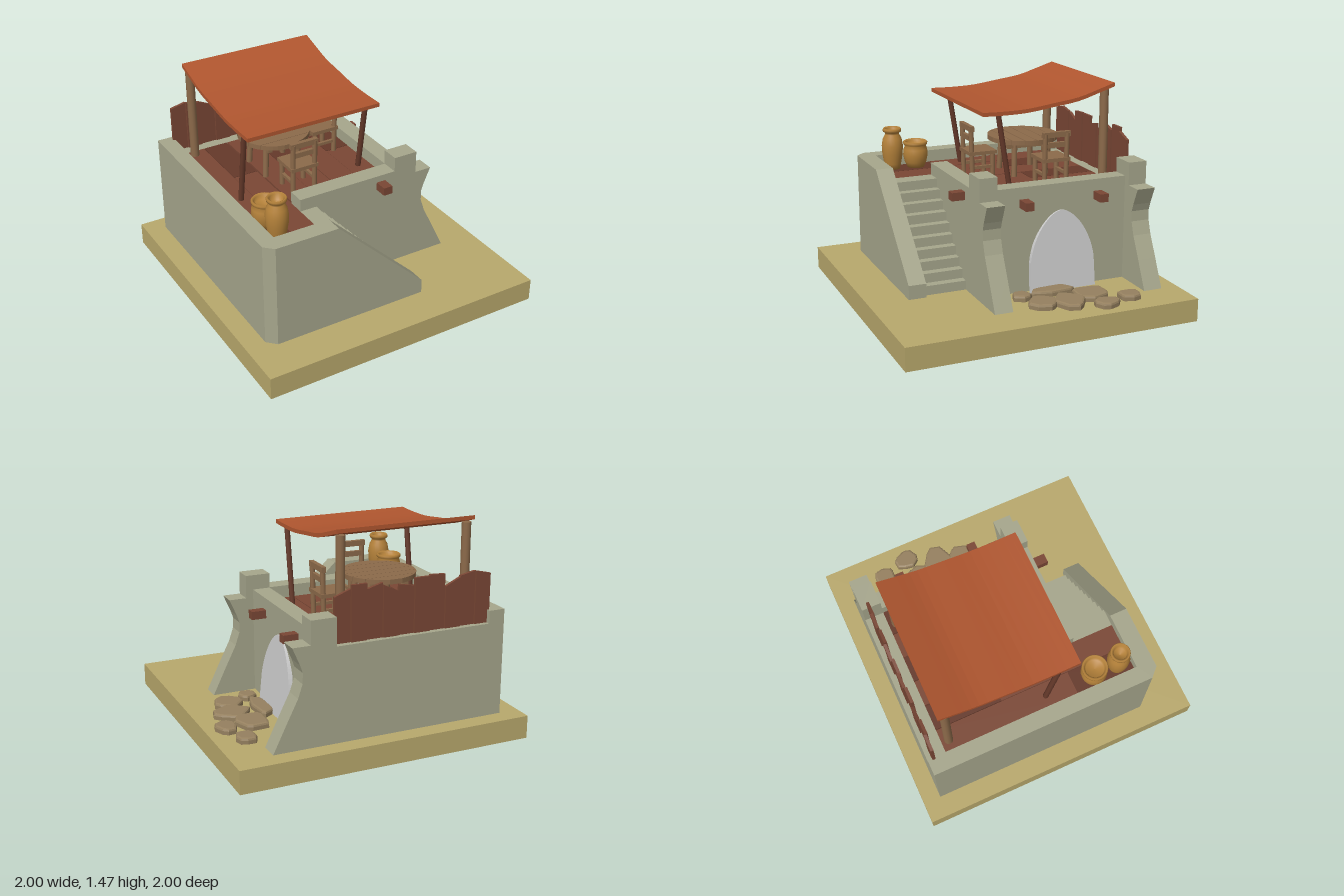
import * as THREE from 'three';

const mat = (color) => new THREE.MeshStandardMaterial({ color });
const M = {
  ground: mat(0xb8a86c), wall: mat(0xa6a68c), stone: mat(0x95805f), tan: mat(0x8c6a4a),
  red: mat(0x7a4735), redDark: mat(0x65392a), cloth: mat(0xb0562f), pot: mat(0xb5823a), door: mat(0xcccccc),
};
M.ground.side = THREE.DoubleSide;
const G = 0.155, FLOOR = 0.785, TOP = 0.87;

export function createModel() {
  const model = new THREE.Group();
  const add = (name, geo, material, parent = model) => {
    const mesh = new THREE.Mesh(geo, material);
    mesh.name = name;
    parent.add(mesh);
    return mesh;
  };
  const group = (name, parent = model) => {
    const g = new THREE.Group();
    g.name = name;
    parent.add(g);
    return g;
  };
  // box given by its limits
  const box = (name, x0, x1, y0, y1, z0, z1, m, parent) => {
    const mesh = add(name, new THREE.BoxGeometry(x1 - x0, y1 - y0, z1 - z0), m, parent);
    mesh.position.set((x0 + x1) / 2, (y0 + y1) / 2, (z0 + z1) / 2);
    return mesh;
  };
  const shapeOf = (pts) => new THREE.Shape(pts.map(([a, b]) => new THREE.Vector2(a, b)));
  // x-y outline pushed along z
  const slab = (name, pts, z0, z1, m, parent) => {
    const geo = new THREE.ExtrudeGeometry(shapeOf(pts), { depth: z1 - z0, bevelEnabled: false });
    return add(name, geo.translate(0, 0, z0), m, parent);
  };
  // x-z footprint raised along y
  const plan = (name, pts, y0, y1, m, bevel = 0, parent = model) => {
    const geo = new THREE.ExtrudeGeometry(shapeOf(pts.map(([x, z]) => [x, -z])), {
      depth: y1 - y0 - bevel, bevelEnabled: bevel > 0, bevelSize: bevel, bevelThickness: bevel,
      bevelOffset: -bevel, bevelSegments: 2,
    });
    return add(name, geo.rotateX(-Math.PI / 2).translate(0, y0, 0), m, parent);
  };
  // round pole between two points
  const pole = (name, a, b, r, m, parent, sides = 10) => {
    const p = new THREE.Vector3(...a), q = new THREE.Vector3(...b);
    const mesh = add(name, new THREE.CylinderGeometry(r, r, p.distanceTo(q), sides), m, parent);
    mesh.position.copy(p).lerp(q, 0.5);
    mesh.quaternion.setFromUnitVectors(new THREE.Vector3(0, 1, 0), q.sub(p).normalize());
    return mesh;
  };

  // ground tray, open underneath
  const trayGeo = new THREE.BoxGeometry(2, G, 2);
  trayGeo.setIndex(Array.from(trayGeo.index.array).filter((_, i) => i < 18 || i >= 24));
  trayGeo.clearGroups();
  add('ground', trayGeo, M.ground).position.y = G / 2;

  // outer walls
  plan('leftWall', [[-0.86, -0.88], [-0.75, -0.88], [-0.75, 0.61], [-0.36, 0.61], [-0.36, 0.73],
    [-0.8, 0.73], [-0.86, 0.67]], G, TOP, M.wall);
  slab('stairWall', [[-0.36, G], [0.285, G], [0.285, 0.25], [-0.36, TOP]], 0.61, 0.73, M.wall);
  box('backWall', -0.75, 0.33, G, FLOOR, -0.88, -0.75, M.wall);
  box('roomFrontWall', -0.4, 0.33, G, TOP, 0.2, 0.32, M.wall);
  box('doorWall', 0.32, 0.44, G, TOP, -0.76, 0.2, M.wall);

  // buttresses at both ends of the door wall
  const fin = [[0.32, G], [0.74, G], [0.65, 0.34], [0.575, 0.49], [0.545, 0.58], [0.543, 0.65],
    [0.56, 0.7], [0.61, 0.815], [0.49, 0.815], [0.49, 0.97], [0.32, 0.97]];
  slab('frontButtress', fin, 0.195, 0.32, M.wall);
  slab('backButtress', fin, -0.88, -0.75, M.wall);

  // pointed door, leaning out at the foot
  const arch = new THREE.Shape();
  arch.moveTo(0.04, G);
  arch.lineTo(0.51, G);
  arch.lineTo(0.505, 0.36);
  arch.bezierCurveTo(0.48, 0.55, 0.36, 0.69, 0.275, 0.69);
  arch.bezierCurveTo(0.2, 0.69, 0.07, 0.55, 0.045, 0.36);
  const doorGeo = new THREE.ExtrudeGeometry(arch, { depth: 0.03, bevelEnabled: false, curveSegments: 16 });
  doorGeo.rotateY(Math.PI / 2).translate(0.42, 0, 0);
  const dp = doorGeo.attributes.position;
  for (let i = 0; i < dp.count; i++) dp.setX(i, dp.getX(i) + 0.05 * (0.69 - dp.getY(i)) / 0.535);
  doorGeo.computeVertexNormals();
  add('door', doorGeo, M.door);

  // staircase as one stepped outline
  const steps = 10, rise = (FLOOR - G) / steps, run = 0.059;
  const stair = [[-0.4, G], [0.25, G]];
  for (let i = 0; i < steps; i++) {
    stair.push([0.25 - i * run, G + (i + 1) * rise], [0.25 - (i + 1) * run, G + (i + 1) * rise]);
  }
  stair.push([-0.4, FLOOR]);
  slab('stairs', stair, 0.32, 0.61, M.wall);

  // terrace floor boards, the first two running onto the landing
  const floor = group('terraceFloor');
  for (let i = 0; i < 6; i++) {
    const x = -0.75 + i * 0.18;
    const end = i < 2 ? 0.61 : 0.2;
    const split = i % 2 ? -0.28 : 0.2;
    const x1 = i === 1 ? -0.4 : x + 0.176;
    box('floorBoard', x, x1, 0.74, FLOOR + 0.002, -0.75, split - 0.002, i % 2 ? M.redDark : M.red, floor);
    if (end > split) box('floorBoard', x, x1, 0.74, FLOOR, split, end, i % 2 ? M.red : M.redDark, floor);
  }

  // beam ends sticking out of the walls
  box('doorBeam', 0.4, 0.54, 0.735, 0.79, -0.04, 0.02, M.red);
  box('doorBeam', 0.4, 0.54, 0.735, 0.79, -0.575, -0.515, M.red);
  box('stairBeam', 0.18, 0.245, 0.77, 0.825, 0.3, 0.41, M.red);

  // back fence with uneven slanted tops
  const fence = group('backFence');
  [[1.11, 1.135], [1.135, 1.115], [1.11, 1.06], [1.14, 1.145], [1.14, 1.14], [1.09, 1.11],
    [1.07, 1.12], [1.135, 1.105], [1.145, 1.145], [1.12, 1.08]].forEach(([a, b], i) => {
    const x = -0.765 + i * 0.1085;
    const dz = i % 2 ? 0.004 : -0.004;
    slab('fenceBoard', [[x, 0.76], [x + 0.106, 0.76], [x + 0.106, b], [x, a]],
      -0.845 + dz, -0.825 + dz, M.red, fence);
  });

  // cloth canopy, sagging toward the front
  const sag = new THREE.SplineCurve([[0.2, 1.325], [0.05, 1.322], [-0.12, 1.327], [-0.3, 1.35],
    [-0.48, 1.375], [-0.62, 1.415], [-0.75, 1.455]].map(([z, y]) => new THREE.Vector2(-z, y))).getPoints(18);
  const section = [...sag.map((p) => [p.x, p.y - 0.013]), ...sag.map((p) => [p.x, p.y + 0.013]).reverse()];
  const clothGeo = new THREE.ExtrudeGeometry(shapeOf(section), { depth: 0.96, bevelEnabled: false });
  add('canopy', clothGeo.rotateY(Math.PI / 2).translate(-0.695, 0, 0), M.cloth);

  // canopy posts
  for (const x of [-0.66, 0.235]) {
    pole('frontPost', [x, FLOOR - 0.01, -0.005], [x, 1.32, 0.083], 0.019, M.redDark, model, 8);
    const bx = x < 0 ? -0.665 : 0.215;
    pole('backPost', [bx, FLOOR - 0.01, -0.7], [bx, 1.42, -0.7], 0.03, M.tan, model, 12);
  }

  // round table with a boarded top
  const table = group('table');
  table.position.set(-0.25, FLOOR, -0.31);
  const R = 0.245, boards = 6;
  for (let i = 0; i < boards; i++) {
    const a = -R + (i * 2 * R) / boards, b = a + (2 * R) / boards - 0.004;
    const pts = [];
    for (let k = 0; k <= 6; k++) {
      const z = a + ((b - a) * k) / 6;
      pts.push([Math.sqrt(Math.max(R * R - z * z, 0.002)), z]);
    }
    const outline = [...pts, ...pts.map(([x, z]) => [-x, z]).reverse()].reverse();
    plan('tableBoard', outline, 0.238, 0.27, M.tan, 0, table);
  }
  for (const sx of [-1, 1]) {
    box('tableRail', sx * 0.115 - 0.015, sx * 0.115 + 0.015, 0.2, 0.24, -0.17, 0.17, M.tan, table);
    for (const sz of [-1, 1]) {
      pole('tableLeg', [sx * 0.13, 0, sz * 0.12], [sx * 0.115, 0.24, sz * 0.11], 0.02, M.tan, table);
    }
  }

  // chairs, backrest on local +z
  const chair = (x, z, turn) => {
    const c = group('chair');
    c.position.set(x, FLOOR, z);
    c.rotation.y = turn;
    box('seat', -0.1, 0.1, 0.168, 0.193, -0.1, 0.1, M.tan, c);
    for (const s of [-1, 1]) {
      pole('frontLeg', [s * 0.08, 0, -0.075], [s * 0.08, 0.17, -0.075], 0.017, M.tan, c);
      pole('backLeg', [s * 0.08, 0, 0.075], [s * 0.08, 0.36, 0.085], 0.017, M.tan, c);
      box('sideRail', s * 0.08 - 0.01, s * 0.08 + 0.01, 0.07, 0.09, -0.075, 0.075, M.tan, c);
    }
    box('topRail', -0.1, 0.1, 0.335, 0.372, 0.068, 0.098, M.tan, c);
    box('middleRail', -0.09, 0.09, 0.265, 0.3, 0.068, 0.092, M.tan, c);
  };
  chair(-0.25, 0.025, 0);
  chair(0.125, -0.35, Math.PI / 2);

  // clay jars
  const jar = (name, x, z, profile) => {
    const geo = new THREE.LatheGeometry(profile.map(([r, y]) => new THREE.Vector2(r, y)), 24);
    add(name, geo, M.pot).position.set(x, FLOOR, z);
  };
  jar('tallJar', -0.67, 0.51, [[0, 0], [0.05, 0], [0.06, 0.04], [0.072, 0.11], [0.075, 0.17], [0.066, 0.22],
    [0.05, 0.25], [0.05, 0.262], [0.064, 0.27], [0.066, 0.285], [0.06, 0.295], [0.045, 0.285], [0.04, 0.25], [0, 0.24]]);
  jar('wideJar', -0.665, 0.34, [[0, 0], [0.06, 0], [0.078, 0.04], [0.088, 0.09], [0.084, 0.13], [0.074, 0.155],
    [0.085, 0.165], [0.087, 0.18], [0.08, 0.188], [0.066, 0.178], [0.06, 0.15], [0, 0.145]]);

  // paving stones: x, z, half width, half length
  const paving = group('pavingStones');
  [[0.805, -0.6, 0.07, 0.08], [0.68, -0.38, 0.11, 0.125], [0.865, -0.405, 0.07, 0.09], [0.75, -0.195, 0.125, 0.11],
    [0.715, -0.025, 0.1, 0.105], [0.555, 0.055, 0.065, 0.065], [0.54, -0.17, 0.065, 0.16]].forEach(([x, z, w, l], s) => {
    const pts = [];
    for (let k = 0; k < 9; k++) {
      const t = -((k + 0.25 * Math.sin(s * 5 + k * 3)) / 9) * Math.PI * 2;
      const r = 0.98 + 0.08 * Math.sin(s * 7 + k * 2.4);
      pts.push([x + w * r * Math.cos(t), z + l * r * Math.sin(t)]);
    }
    plan('pavingStone', pts, 0.145, 0.195, M.stone, 0.015, paving);
  });

  return model;
}
